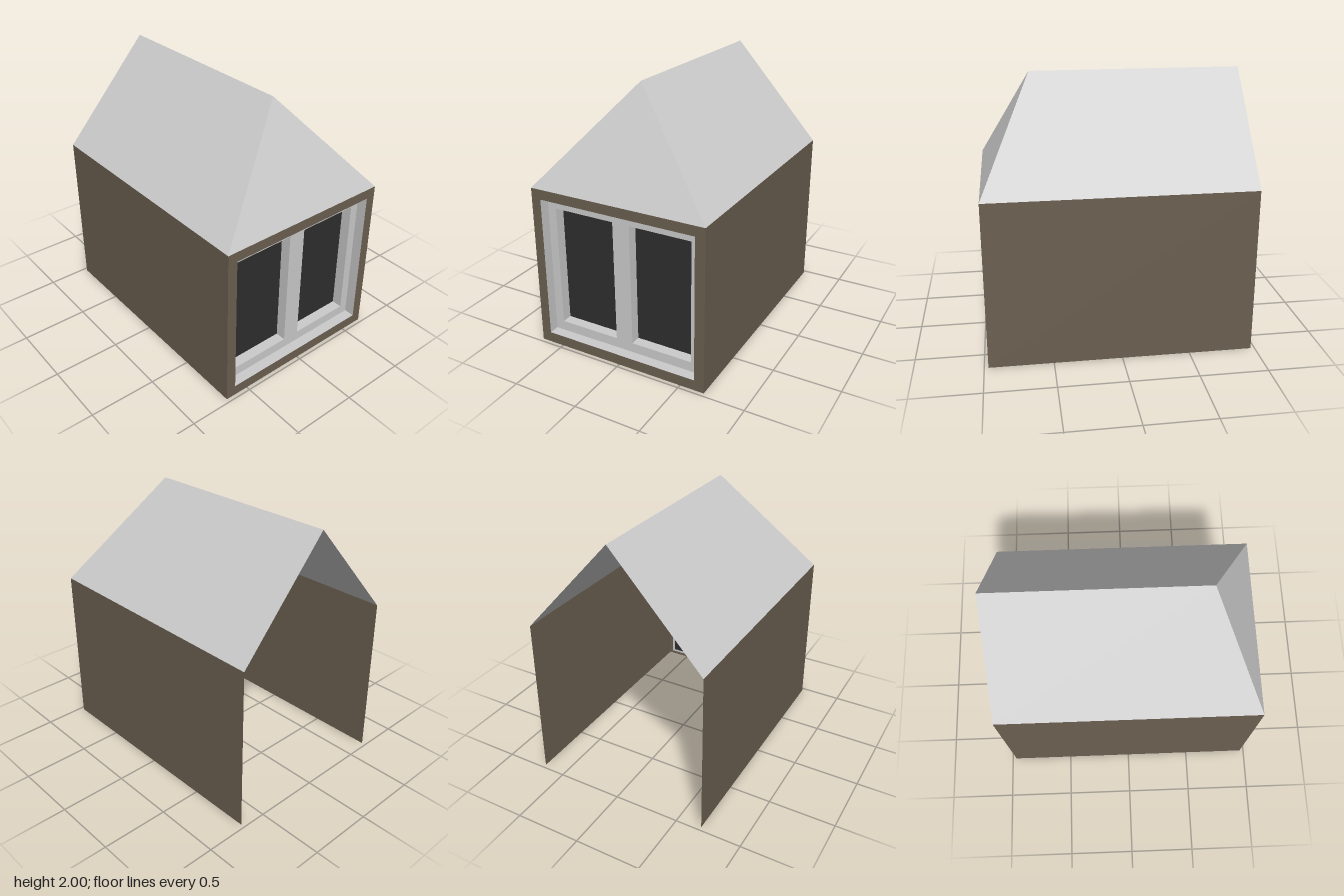
import * as THREE from 'three';

const W = 0.685, EAVE = 1.24, RIDGE = 2, FRONT = 0.97, BACK = -0.97, HIP = 0.59;
const RECESS = 0.08; // depth of each window step
const opening = [-0.61, 0.08, 0.61, 1.165]; // x0, y0, x1, y1
const panes = [[-0.543, 0.155, -0.067, 1.08], [0.067, 0.155, 0.543, 1.08]];

const makeMaterial = (color) =>
  new THREE.MeshStandardMaterial({ color, side: THREE.DoubleSide, flatShading: true });

// Corner points of a rectangle, counter-clockwise
const corners = ([x0, y0, x1, y1]) => [[x0, y0], [x1, y0], [x1, y1], [x0, y1]];
const toPath = (rect, Type) => new Type(corners(rect).map(([x, y]) => new THREE.Vector2(x, y)));

// Flat vertical sheet facing +z with rectangular holes
function sheet(rect, holes, z) {
  const shape = toPath(rect, THREE.Shape);
  shape.holes = holes.map((h) => toPath(h, THREE.Path));
  return new THREE.ShapeGeometry(shape).translate(0, 0, z);
}

// Convex polygons, each a list of corners, fanned into triangles
function faces(polygons) {
  const pos = [];
  for (const p of polygons)
    for (let i = 1; i < p.length - 1; i++) pos.push(...p[0], ...p[i], ...p[i + 1]);
  const geo = new THREE.BufferGeometry();
  geo.setAttribute('position', new THREE.Float32BufferAttribute(pos, 3));
  geo.computeVertexNormals();
  return geo;
}

// Four inward-facing sides of a recess running back from z
function reveal(rect, z) {
  const c = corners(rect);
  return faces(c.map((a, i) => {
    const b = c[(i + 1) % 4];
    return [[...a, z], [...b, z], [...b, z - RECESS], [...a, z - RECESS]];
  }));
}

export function createModel() {
  const model = new THREE.Group();
  model.name = 'dormer';
  const cladding = makeMaterial(0x6b5f50);
  const grey = makeMaterial(0xcccccc);
  const glass = makeMaterial(0x2e2e2e);
  const add = (name, geometry, material, parent = model) => {
    const mesh = new THREE.Mesh(geometry, material);
    mesh.name = name;
    parent.add(mesh);
  };

  // Walls: open at the back and underneath
  add('rightWall', faces([[[-W, 0, BACK], [-W, 0, FRONT], [-W, EAVE, FRONT], [-W, EAVE, BACK]]]), cladding);
  add('leftWall', faces([[[W, 0, FRONT], [W, 0, BACK], [W, EAVE, BACK], [W, EAVE, FRONT]]]), cladding);
  add('frontWall', sheet([-W, 0, W, EAVE], [opening], FRONT), cladding);

  // Roof: two slopes and a hip at the front
  const ridgeFront = [0, RIDGE, HIP], ridgeBack = [0, RIDGE, BACK];
  add('roof', faces([
    [[W, EAVE, FRONT], [W, EAVE, BACK], ridgeBack, ridgeFront],
    [[-W, EAVE, BACK], [-W, EAVE, FRONT], ridgeFront, ridgeBack],
    [[-W, EAVE, FRONT], [W, EAVE, FRONT], ridgeFront],
  ]), grey);

  // Window: stepped frame with two recessed panes
  const window = new THREE.Group();
  window.name = 'window';
  model.add(window);
  add('windowReveal', reveal(opening, FRONT), grey, window);
  add('windowFrame', sheet(opening, panes, FRONT - RECESS), grey, window);
  panes.forEach((pane, i) => {
    const side = i ? 'left' : 'right';
    add(side + 'PaneReveal', reveal(pane, FRONT - RECESS), grey, window);
    add(side + 'Glass', sheet(pane, [], FRONT - 2 * RECESS), glass, window);
  });
  return model;
}
